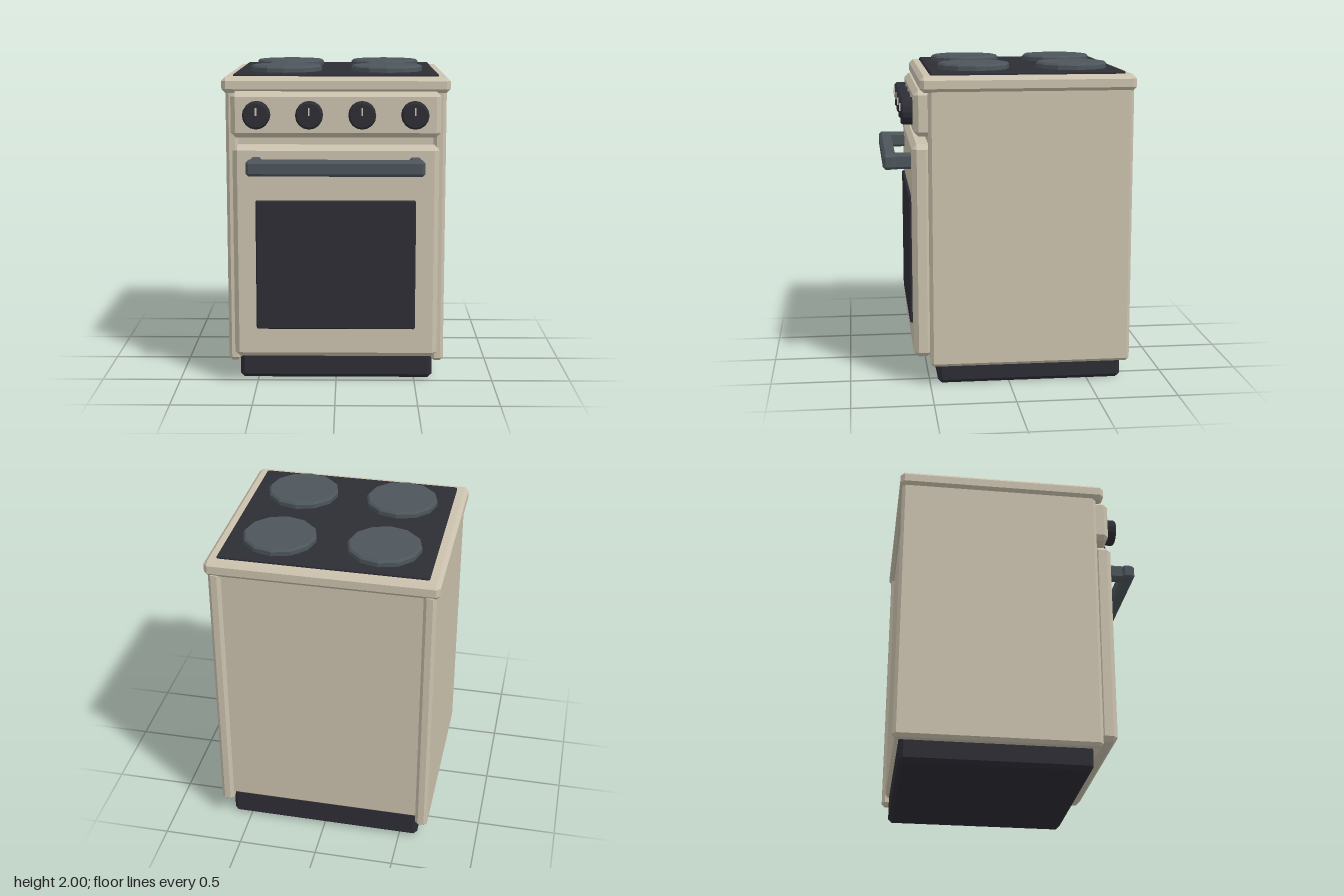
import * as THREE from 'three';
import { ConvexGeometry } from 'three/addons/geometries/ConvexGeometry.js';

const material = (name, color) => {
  const m = new THREE.MeshStandardMaterial({ color });
  m.name = name;
  return m;
};

// Box between two corners with flat chamfered edges.
function chamferBox([x0, y0, z0], [x1, y1, z1], bevel) {
  const half = [(x1 - x0) / 2, (y1 - y0) / 2, (z1 - z0) / 2];
  const points = [];
  for (const sx of [-1, 1]) for (const sy of [-1, 1]) for (const sz of [-1, 1]) {
    for (let face = 0; face < 3; face++) {
      const c = half.map((h, i) => (i === face ? h : h - bevel));
      points.push(new THREE.Vector3(sx * c[0], sy * c[1], sz * c[2]));
    }
  }
  return new ConvexGeometry(points).translate((x0 + x1) / 2, (y0 + y1) / 2, (z0 + z1) / 2);
}

// Faceted disc standing on y = 0 with a chamfered top rim.
function chamferDisc(radius, height, bevel, sides) {
  const profile = [[0, 0], [radius, 0], [radius, height - bevel], [radius - bevel, height], [0, height]];
  const lathe = new THREE.LatheGeometry(profile.map(([r, y]) => new THREE.Vector2(r, y)), sides);
  const flat = lathe.toNonIndexed();
  flat.computeVertexNormals();
  return flat;
}

export function createModel() {
  const cream = material('cream enamel', 0xcbc2ae);
  const black = material('black', 0x2d2d35);
  const steel = material('grey steel', 0x4d565c);

  const model = new THREE.Group();
  model.name = 'cooker';
  const add = (name, geometry, mat, parent = model) => {
    const mesh = new THREE.Mesh(geometry, mat);
    mesh.name = name;
    parent.add(mesh);
    return mesh;
  };
  const box = (name, min, max, bevel, mat, parent) => add(name, chamferBox(min, max, bevel), mat, parent);

  // Cabinet
  box('plinth', [-0.617, 0, -0.715], [0.617, 0.2, 0.45], 0.025, black);
  box('body', [-0.63, 0.18, -0.74], [0.63, 1.87, 0.48], 0.02, cream);
  for (const s of [-1, 1]) {
    const inner = s * 0.607, outer = s * 0.685;
    box(s > 0 ? 'leftSidePanel' : 'rightSidePanel',
      [Math.min(inner, outer), 0.13, -0.76], [Math.max(inner, outer), 1.87, 0.5], 0.02, cream);
  }
  box('worktop', [-0.705, 1.845, -0.773], [0.705, 1.945, 0.55], 0.025, cream);

  // Hob with four plates
  box('hob', [-0.635, 1.925, -0.713], [0.635, 1.962, 0.482], 0.008, black);
  const plate = chamferDisc(0.226, 0.045, 0.012, 12);
  for (const x of [-0.32, 0.32]) for (const z of [-0.426, 0.193]) {
    add('hotplate', plate, steel).position.set(x, 1.955, z);
  }

  // Control panel and knobs
  box('controlPanel', [-0.648, 1.575, 0.47], [0.648, 1.857, 0.587], 0.03, cream);
  const knobGeometry = chamferDisc(0.085, 0.08, 0.012, 16).rotateX(Math.PI / 2);
  const markGeometry = new THREE.BoxGeometry(0.01, 0.048, 0.009);
  for (const x of [-0.485, -0.162, 0.162, 0.485]) {
    const knob = new THREE.Group();
    knob.name = 'knob';
    knob.position.set(x, 1.718, 0.578);
    add('knobBody', knobGeometry, black, knob);
    add('knobMark', markGeometry, cream, knob).position.set(0, 0.024, 0.084);
    model.add(knob);
  }

  // Oven door with window and handle
  box('ovenDoor', [-0.638, 0.183, 0.485], [0.638, 1.527, 0.6], 0.03, cream);
  box('ovenWindow', [-0.497, 0.37, 0.58], [0.497, 1.188, 0.617], 0.007, black);
  const handle = new THREE.Group();
  handle.name = 'doorHandle';
  model.add(handle);
  box('handleBar', [-0.543, 1.36, 0.692], [0.543, 1.457, 0.773], 0.017, steel, handle);
  for (const x of [-0.49, 0.49]) {
    box('handlePost', [x - 0.037, 1.36, 0.58], [x + 0.037, 1.457, 0.72], 0.015, steel, handle);
  }
  return model;
}
